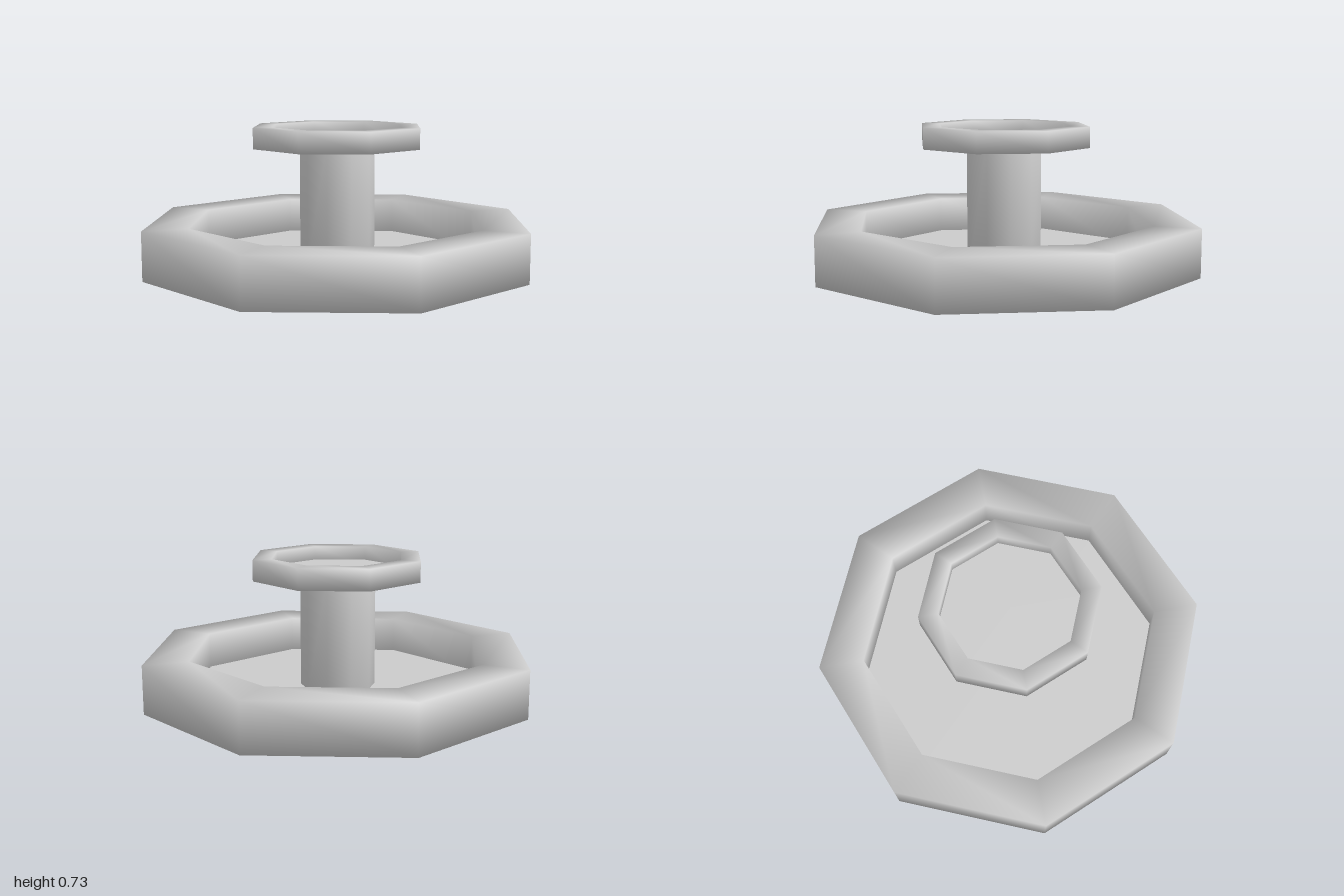
import * as THREE from 'three';
import { mergeVertices } from 'three/addons/utils/BufferGeometryUtils.js';

const material = new THREE.MeshStandardMaterial({ color: 0xcccccc });
const thinMaterial = new THREE.MeshStandardMaterial({ color: 0xcccccc, side: THREE.DoubleSide });

// Share all corners so the shading rolls softly over every edge
function soften(geometry) {
  geometry.deleteAttribute('normal');
  geometry.deleteAttribute('uv');
  const merged = mergeVertices(geometry, 1e-4);
  merged.computeVertexNormals();
  return merged;
}

function part(name, geometry, mat = material) {
  const mesh = new THREE.Mesh(geometry, mat);
  mesh.name = name;
  return mesh;
}

// Eight-sided tray: a square-section rim around a thin recessed plate
function tray(name, inner, outer, bottom, top, plateY) {
  const group = new THREE.Group();
  group.name = name;
  const profile = [[inner, bottom], [outer, bottom], [outer, top], [inner, top], [inner, bottom]]
    .map(([x, y]) => new THREE.Vector2(x, y));
  group.add(part(name + 'Rim', soften(new THREE.LatheGeometry(profile, 8))));

  const plate = part(name + 'Plate', new THREE.CircleGeometry(inner, 8), thinMaterial);
  plate.rotation.x = -Math.PI / 2;
  plate.position.y = plateY;
  group.add(plate);
  return group;
}

export function createModel() {
  const model = new THREE.Group();
  model.name = 'tieredFountain';

  model.add(tray('lowerBasin', 0.77, 1, 0, 0.245, 0.06));
  model.add(tray('upperBasin', 0.345, 0.443, 0.62, 0.725, 0.655));

  // Ten-sided post, poking slightly below the lower plate
  const bottom = 0.04, top = 0.65;
  const post = part('post', soften(new THREE.CylinderGeometry(0.19, 0.19, top - bottom, 10)));
  post.position.y = (bottom + top) / 2;
  model.add(post);

  return model;
}
